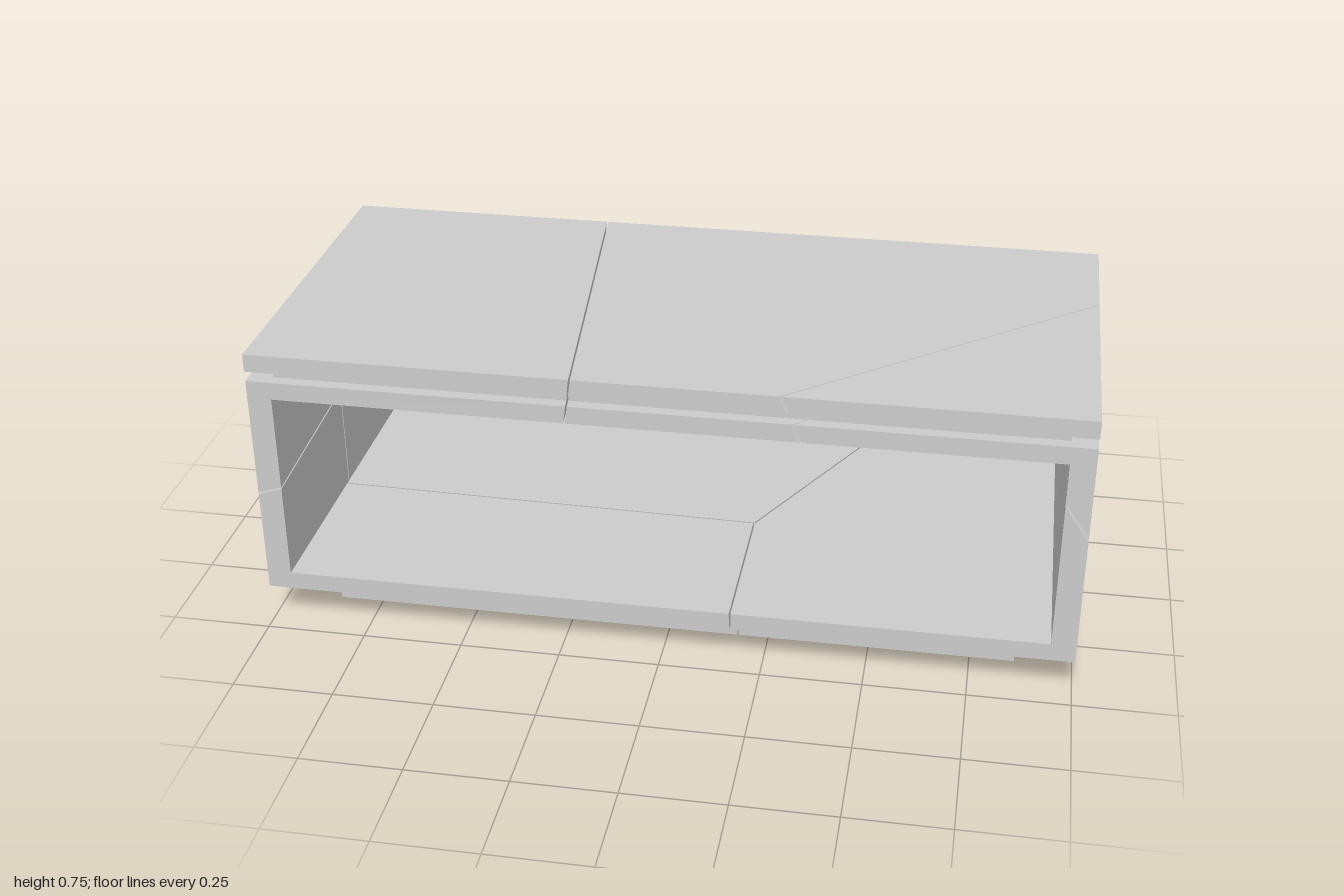
import * as THREE from 'three';
import { ConvexGeometry } from 'three/addons/geometries/ConvexGeometry.js';

const GAP = 0.002; // half the width of a crack

// A crack is a plane a*x + b*y + c*z = d; below / above are its two sides.
const below = ([a, b, c, d]) => {
  const n = new THREE.Vector3(a, b, c);
  return { n, d: d - GAP * n.length() };
};
const above = ([a, b, c, d]) => below([-a, -b, -c, -d]);

// Box between two corners, cut down by the given half-spaces.
function chunk([x0, y0, z0], [x1, y1, z1], cuts) {
  const plane = (x, y, z, d) => ({ n: new THREE.Vector3(x, y, z), d });
  const planes = [
    plane(1, 0, 0, x1), plane(-1, 0, 0, -x0),
    plane(0, 1, 0, y1), plane(0, -1, 0, -y0),
    plane(0, 0, 1, z1), plane(0, 0, -1, -z0), ...cuts,
  ];
  const points = [];
  // corners are where three planes meet inside all the others
  for (let i = 0; i < planes.length; i++)
    for (let j = i + 1; j < planes.length; j++)
      for (let k = j + 1; k < planes.length; k++) {
        const [p, q, r] = [planes[i], planes[j], planes[k]];
        const qr = q.n.clone().cross(r.n);
        const det = p.n.dot(qr);
        if (Math.abs(det) < 1e-6) continue;
        const v = qr.multiplyScalar(p.d)
          .addScaledVector(r.n.clone().cross(p.n), q.d)
          .addScaledVector(p.n.clone().cross(q.n), r.d)
          .divideScalar(det);
        const inside = planes.every((s) => s.n.dot(v) <= s.d + 1e-6);
        if (inside && !points.some((o) => o.distanceTo(v) < 1e-5)) points.push(v);
      }
  return new ConvexGeometry(points);
}

export function createModel() {
  const model = new THREE.Group();
  const material = new THREE.MeshStandardMaterial({ color: 0xcccccc });

  // One slab broken into pieces, each piece a list of half-spaces.
  function slab(name, min, max, pieces) {
    const group = new THREE.Group();
    group.name = name;
    pieces.forEach((cuts, i) => {
      const mesh = new THREE.Mesh(chunk(min, max, cuts), material);
      mesh.name = `${name}Piece${i + 1}`;
      group.add(mesh);
    });
    model.add(group);
  }

  // cracks across the top
  const topLeft = [1, -0.13, -0.1075, -0.3575];
  const topCorner = [0.615, 0.264, 0.72, 0.705];
  const topPieces = [
    [below(topLeft)],
    [above(topLeft), below(topCorner)],
    [above(topCorner)],
  ];

  // three cracks meeting in the bottom
  const floorFront = [1, 0.035, 0, 0.175];
  const floorBack = [1, -0.14, 0.52, 0.17];
  const floorLeft = [-0.02, -0.2, 1, 0.004];
  const bottomPieces = [
    [below(floorLeft), below(floorBack)],
    [above(floorLeft), below(floorFront)],
    [above(floorFront), above(floorBack)],
  ];

  // two separate cracks in the +x side
  const sideMiddle = [0, -0.069, 1, -0.107];
  const sideCorner = [0.26, 0.175, 0.24, 0.4486];
  const plusSidePieces = [
    [below(sideMiddle)],
    [above(sideMiddle), below(sideCorner)],
    [above(sideCorner)],
  ];

  // three cracks meeting in the -x side
  const sideLevel = [-0.33, 1, 0.065, 0.73];
  const sideSlant = [0, 0.68, 1, 0.272];
  const sideUpright = [0, 0, 1, 0];
  const minusSidePieces = [
    [below(sideSlant), below(sideUpright)],
    [above(sideLevel), above(sideSlant)],
    [below(sideLevel), above(sideUpright)],
  ];

  // table top on a recessed spacer
  slab('tableTop', [-1, 0.705, -0.465], [1, 0.75, 0.465], topPieces);
  slab('spacer', [-0.94, 0.68, -0.435], [0.94, 0.705, 0.435], topPieces);

  // open box frame
  slab('ceiling', [-0.94, 0.635, -0.465], [0.94, 0.68, 0.465], topPieces);
  slab('floor', [-0.94, 0.1, -0.465], [0.94, 0.145, 0.465], bottomPieces);
  slab('leftSide', [0.94, 0.1, -0.465], [1, 0.68, 0.465], plusSidePieces);
  slab('rightSide', [-1, 0.1, -0.465], [-0.94, 0.68, 0.465], minusSidePieces);

  // recessed plinth
  slab('plinth', [-0.86, 0, -0.34], [0.86, 0.1, 0.34], bottomPieces);

  return model;
}
